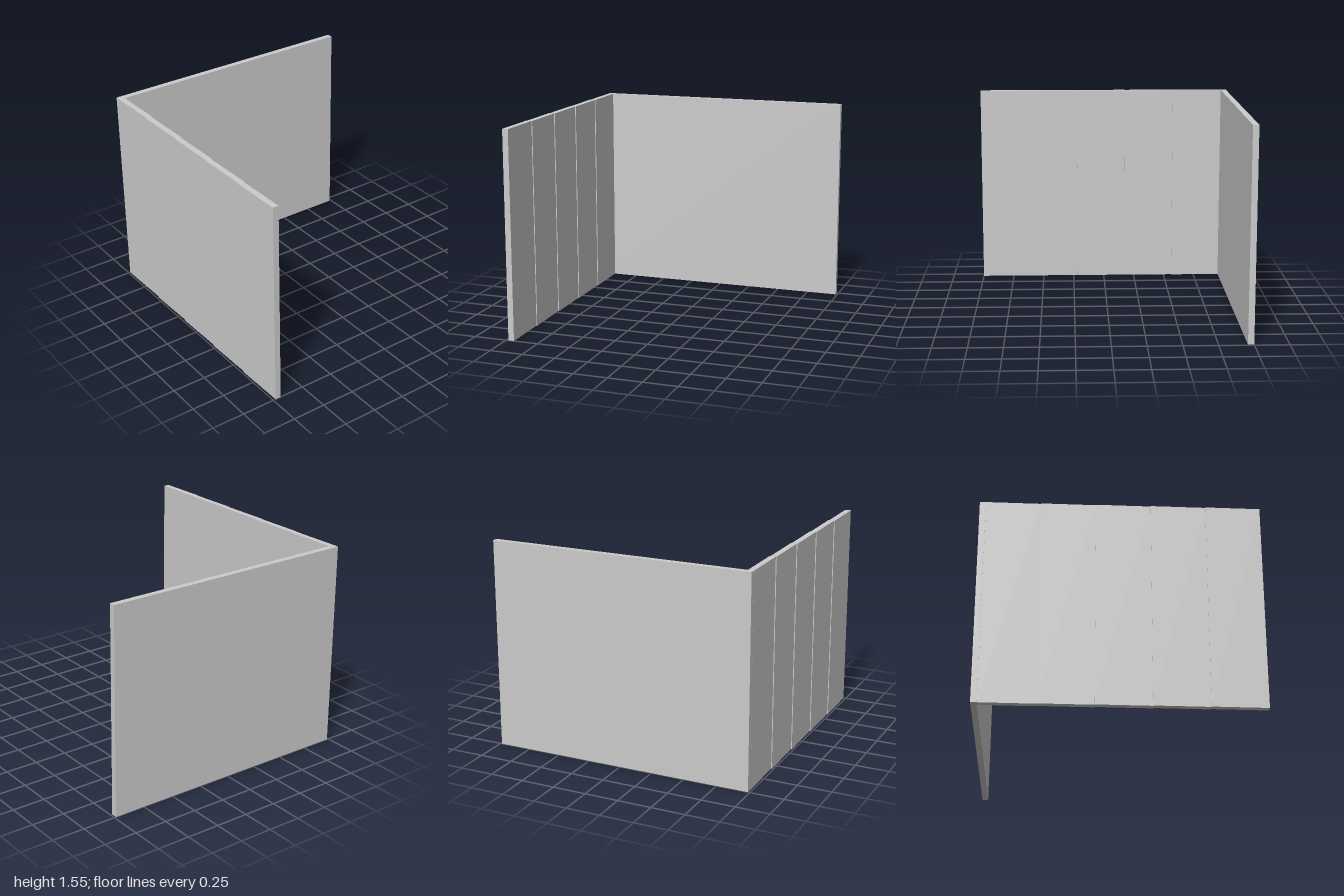
import * as THREE from 'three';

export function createModel() {
  const group = new THREE.Group();
  const material = new THREE.MeshStandardMaterial({ color: 0xcccccc });
  const height = 1.55;
  const halfWidth = 0.987;
  const thickness = 0.044;
  const backFront = -1 + thickness; // inner face of the back wall

  function addSlab(name, width, depth, x, z, turn = 0) {
    const slab = new THREE.Mesh(new THREE.BoxGeometry(width, height, depth), material);
    slab.name = name;
    slab.position.set(x, height / 2, z);
    slab.rotation.y = turn;
    group.add(slab);
  }

  // One plain back wall
  addSlab('backWall', halfWidth * 2, thickness, 0, -1 + thickness / 2);

  // Side wall of five boards, each turned slightly so the joints step
  const boards = 5;
  const step = 0.006;
  const length = (1 - backFront) / boards;
  for (let i = 0; i < boards; i++) {
    addSlab(`sideBoard${i + 1}`, thickness, length,
      -halfWidth + (thickness + step) / 2, backFront + (i + 0.5) * length,
      Math.atan(step / length));
  }

  return group;
}
